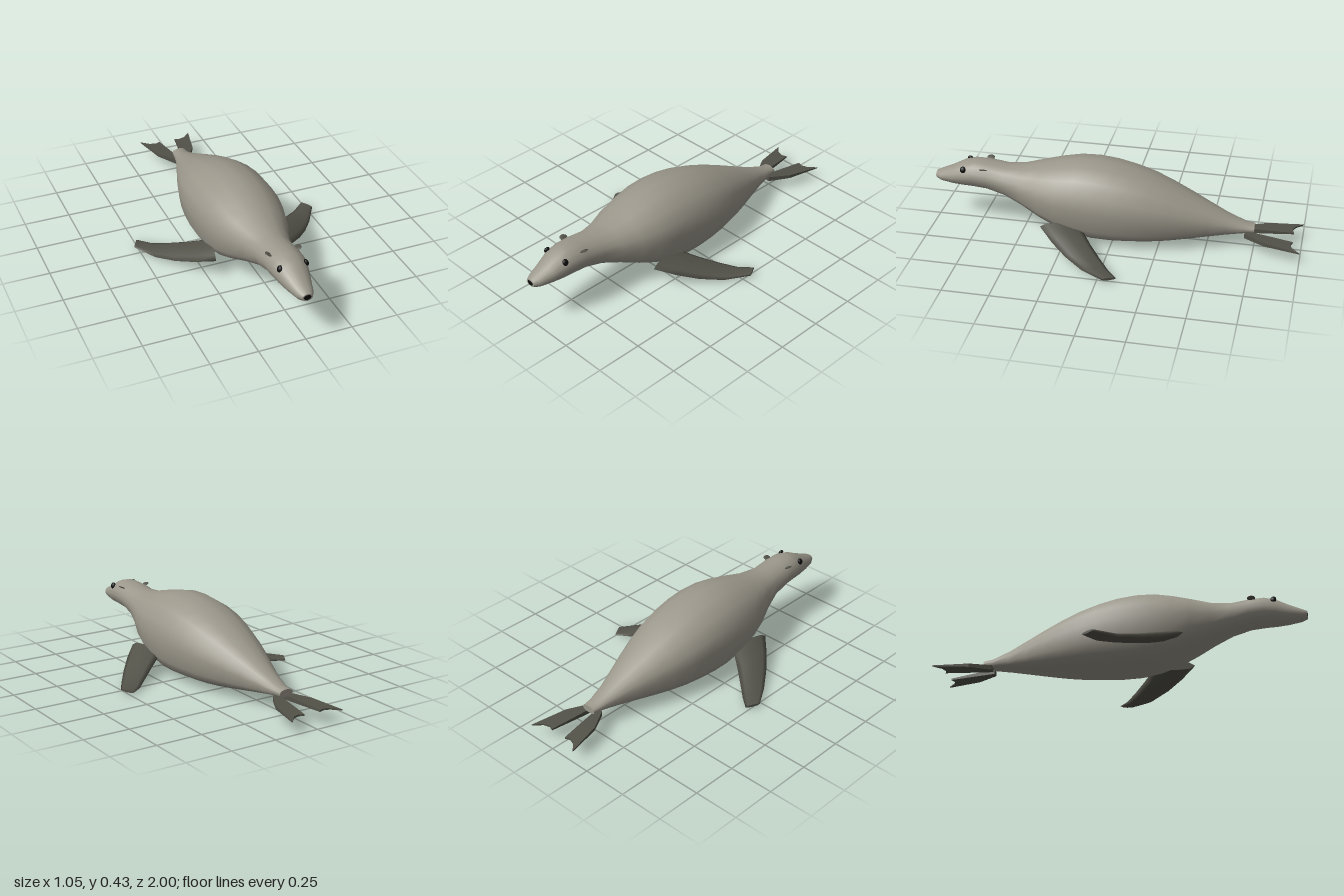
import * as THREE from 'three';

const hide = new THREE.MeshStandardMaterial({ color: 0x9b978b });
hide.name = 'warm grey hide';
const skin = new THREE.MeshStandardMaterial({ color: 0x535249 });
skin.name = 'dark flipper skin';
const black = new THREE.MeshStandardMaterial({ color: 0x0b0b0b });
black.name = 'black';

function part(name, geometry, material) {
  const mesh = new THREE.Mesh(geometry, material);
  mesh.name = name;
  return mesh;
}

// Skin a list of equal-sized rings and close both ends with flat caps
function loft(rings) {
  const n = rings[0].length, index = [], points = rings.flat();
  for (let i = 0; i < rings.length - 1; i++) {
    for (let j = 0; j < n; j++) {
      const a = i * n + j, b = i * n + (j + 1) % n;
      index.push(a, b, a + n, b, b + n, a + n);
    }
  }
  [rings[0], rings.at(-1)].forEach((ring, end) => {
    const center = ring.reduce((s, p) => s.add(p), new THREE.Vector3()).divideScalar(n);
    const base = points.length;
    points.push(center, ...ring);
    for (let j = 0; j < n; j++) {
      const a = base + 1 + j, b = base + 1 + (j + 1) % n;
      index.push(base, ...(end ? [a, b] : [b, a]));
    }
  });
  const g = new THREE.BufferGeometry().setFromPoints(points);
  g.setIndex(index);
  g.computeVertexNormals();
  return g;
}

// Body stations: z, top, bottom, half width
const STATIONS = [
  [1, 0.274, 0.234, 0.028], [0.97, 0.287, 0.222, 0.046], [0.9, 0.318, 0.213, 0.067],
  [0.84, 0.35, 0.21, 0.084], [0.78, 0.366, 0.21, 0.094], [0.7, 0.363, 0.205, 0.098],
  [0.6, 0.35, 0.18, 0.102], [0.5, 0.358, 0.143, 0.132], [0.4, 0.384, 0.1, 0.175],
  [0.3, 0.41, 0.056, 0.204], [0.2, 0.43, 0.027, 0.22], [0.1, 0.433, 0.011, 0.227],
  [0, 0.422, 0.01, 0.227], [-0.1, 0.4, 0.015, 0.219], [-0.2, 0.368, 0.021, 0.202],
  [-0.3, 0.326, 0.031, 0.175], [-0.4, 0.279, 0.045, 0.142], [-0.5, 0.23, 0.06, 0.106],
  [-0.6, 0.181, 0.075, 0.071], [-0.7, 0.141, 0.09, 0.046], [-0.75, 0.134, 0.094, 0.04],
];

function bodyGeometry() {
  const sides = 16;
  return loft(STATIONS.map(([z, top, bottom, half]) => {
    // The belly is squarer than the back; the head is round
    const belly = THREE.MathUtils.lerp(0.66, 1, THREE.MathUtils.smoothstep(z, 0.4, 0.75));
    return Array.from({ length: sides }, (_, j) => {
      const a = (j / sides) * Math.PI * 2, s = Math.sin(a), c = Math.cos(a);
      const p = c < -0.01 ? belly : 1;
      return new THREE.Vector3(
        Math.sign(s) * half * Math.abs(s) ** p,
        (top + bottom) / 2 + Math.sign(c) * (top - bottom) / 2 * Math.abs(c) ** p,
        z);
    });
  }));
}

// Front flipper stations: leading edge, trailing edge, thickness
const FLIPPER = [
  [[0.215, 0.112, 0.37], [0.165, 0.105, 0.16], 0.05],
  [[0.3, 0.074, 0.285], [0.265, 0.066, 0.085], 0.046],
  [[0.375, 0.042, 0.195], [0.35, 0.036, 0.015], 0.038],
  [[0.45, 0.019, 0.09], [0.42, 0.015, -0.045], 0.026],
  [[0.525, 0.024, -0.03], [0.488, 0.02, -0.1], 0.014],
];

function flipperGeometry(side) {
  const sides = 8;
  return loft(FLIPPER.map(([lead, trail, thick]) => {
    const l = new THREE.Vector3(...lead), t = new THREE.Vector3(...trail);
    const ring = Array.from({ length: sides }, (_, j) => {
      const a = (j / sides) * Math.PI * 2;
      const p = t.clone().lerp(l, 0.5 + 0.5 * Math.sin(a));
      p.y += Math.cos(a) * thick / 2;
      p.x *= side;
      return p;
    });
    return side < 0 ? ring.reverse() : ring;
  }));
}

// Hind flipper: notched fan outline that thins towards the tip
function hindGeometry(side) {
  const outline = [[0.012, 0.7], [0.045, 0.7], [0.108, 0.81], [0.152, 1], [0.11, 0.957],
    [0.075, 0.946], [0.048, 0.957], [0.032, 0.85]];
  const shape = new THREE.Shape(outline.map(([x, z]) => new THREE.Vector2(x * side, z)));
  const g = new THREE.ExtrudeGeometry(shape, { depth: 1, bevelEnabled: false });
  g.rotateX(-Math.PI / 2);
  const p = g.attributes.position;
  for (let i = 0; i < p.count; i++) {
    const k = (-p.getZ(i) - 0.7) / 0.3;
    p.setY(i, 0.069 + p.getY(i) * THREE.MathUtils.lerp(0.027, 0.006, k));
  }
  g.computeVertexNormals();
  return g;
}

function ellipsoid(name, rx, ry, rz, x, y, z, tilt = 0) {
  const mesh = part(name, new THREE.SphereGeometry(1, 12, 8).scale(rx, ry, rz), black);
  mesh.position.set(x, y, z);
  mesh.rotation.z = tilt;
  return mesh;
}

export function createModel() {
  const model = new THREE.Group();
  model.name = 'sea lion';
  model.add(part('body', bodyGeometry(), hide));
  model.add(ellipsoid('nose', 0.03, 0.02, 0.007, 0, 0.254, 0.995));

  for (const side of [1, -1]) {
    const label = side > 0 ? 'left' : 'right';
    model.add(part(label + 'FrontFlipper', flipperGeometry(side), skin));
    model.add(part(label + 'HindFlipper', hindGeometry(side), skin));
    model.add(ellipsoid(label + 'Eye', 0.011, 0.018, 0.016, side * 0.071, 0.328, 0.83, side * 0.4));
    // Ear: small thin flap rising outwards
    const ear = ellipsoid(label + 'Ear', 0.018, 0.004, 0.022, side * 0.079, 0.342, 0.715, side * 0.4);
    ear.material = skin;
    model.add(ear);
  }
  return model;
}
